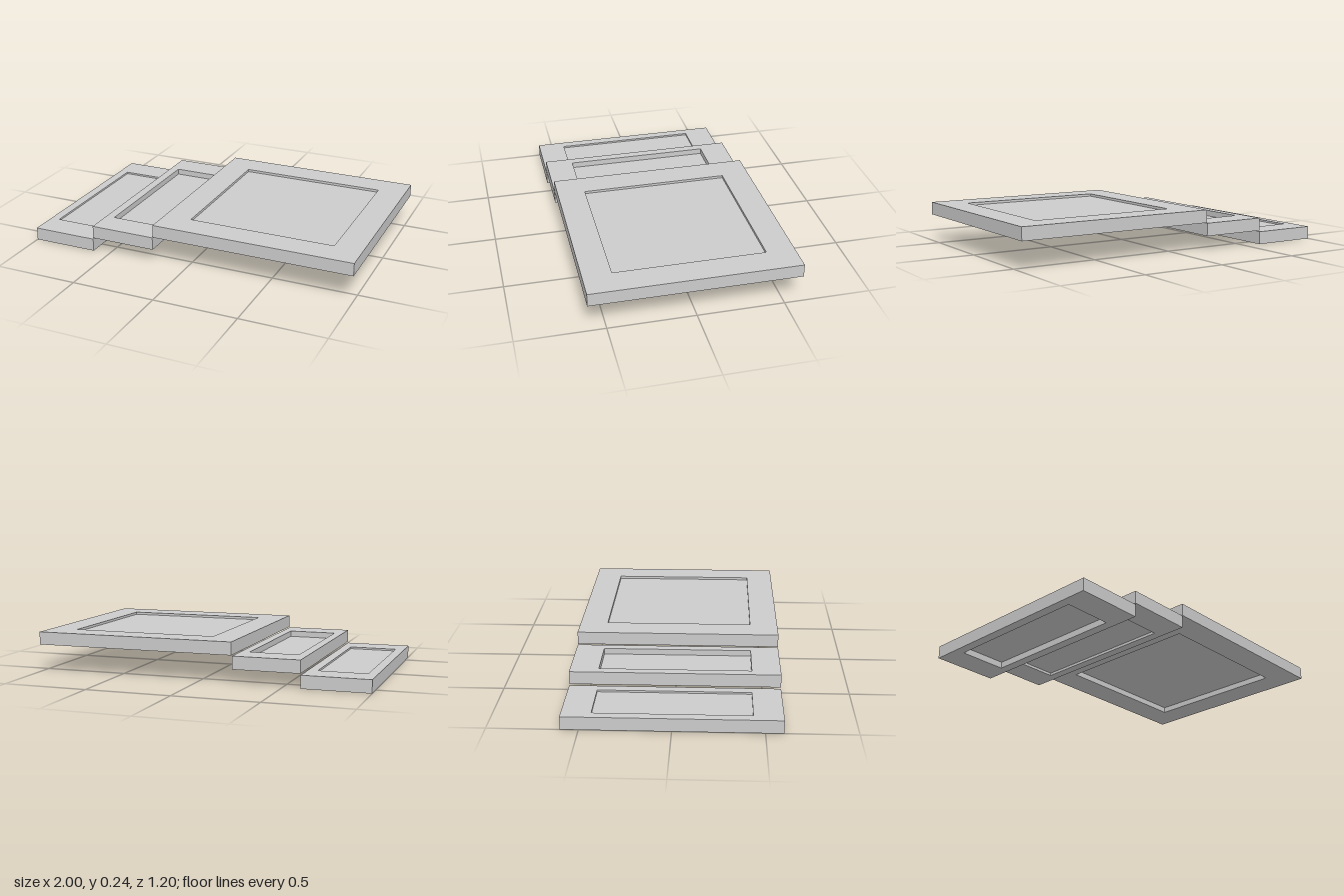
import * as THREE from 'three';

const HALF_DEPTH = 0.6; // half of each panel's extent in z
const HALF_HOLE = 0.435; // half of each opening's extent in z
const material = new THREE.MeshStandardMaterial({ color: 0xcccccc });

// Rectangular outline in the x / depth plane
function rectangle(PathType, x0, x1, half) {
  return new PathType([
    new THREE.Vector2(x0, -half),
    new THREE.Vector2(x1, -half),
    new THREE.Vector2(x1, half),
    new THREE.Vector2(x0, half),
  ]);
}

// A frame with a thin sheet set into its opening, recessed on both faces
function framedPanel({ name, x, y, hole, sheet }) {
  const panel = new THREE.Group();
  panel.name = name;

  const outline = rectangle(THREE.Shape, x[0], x[1], HALF_DEPTH);
  outline.holes.push(rectangle(THREE.Path, hole[0], hole[1], HALF_HOLE));
  const frameGeometry = new THREE.ExtrudeGeometry(outline, { depth: y[1] - y[0], bevelEnabled: false });
  frameGeometry.rotateX(-Math.PI / 2);
  const frame = new THREE.Mesh(frameGeometry, material);
  frame.name = 'frame';
  frame.position.y = y[0];

  const inset = new THREE.Mesh(
    new THREE.BoxGeometry(hole[1] - hole[0], sheet[1] - sheet[0], HALF_HOLE * 2),
    material
  );
  inset.name = 'insetSheet';
  inset.position.set((hole[0] + hole[1]) / 2, (sheet[0] + sheet[1]) / 2, 0);

  panel.add(frame, inset);
  return panel;
}

export function createModel() {
  const model = new THREE.Group();
  model.name = 'steppedPanels';

  // Two narrow panels stepping up to one wide panel
  const panels = [
    { name: 'lowerPanel', x: [-1, -0.605], y: [0, 0.076], hole: [-0.945, -0.66], sheet: [0.038, 0.065] },
    { name: 'middlePanel', x: [-0.603, -0.207], y: [0.084, 0.16], hole: [-0.55, -0.26], sheet: [0.1, 0.125] },
    { name: 'upperPanel', x: [-0.203, 1], y: [0.163, 0.239], hole: [-0.038, 0.835], sheet: [0.198, 0.224] },
  ];
  panels.forEach((p) => model.add(framedPanel(p)));
  return model;
}
